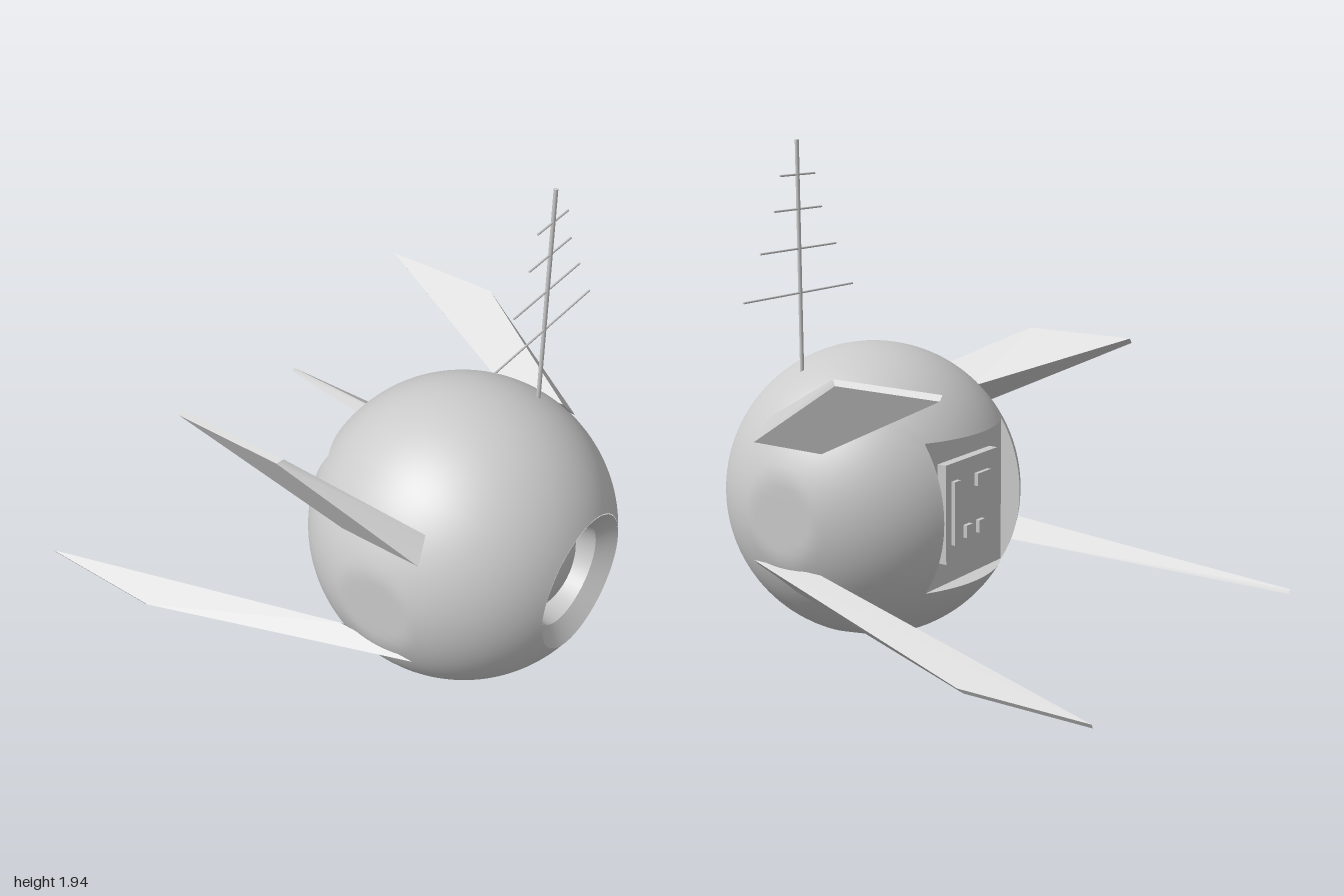
import * as THREE from 'three';

const R = 0.59, CY = 0.55, CZ = 0.47;      // ball radius and centre
const HX = 0.26, HY = 0.292, FLOOR = 0.03; // rear bay half size and floor depth
const RIM = 0.27;                          // front opening radius

const mat = new THREE.MeshStandardMaterial({ color: 0xcccccc });
const matDouble = new THREE.MeshStandardMaterial({ color: 0xcccccc, side: THREE.DoubleSide });

function add(parent, name, geometry, x = 0, y = 0, z = 0, material = mat) {
  const mesh = new THREE.Mesh(geometry, material);
  mesh.name = name;
  mesh.position.set(x, y, z);
  parent.add(mesh);
  return mesh;
}

// Skin closed rings of points, given by point(ring, segment)
function loft(rings, segs, point) {
  const pos = [], idx = [];
  for (let i = 0; i <= rings; i++)
    for (let j = 0; j < segs; j++) pos.push(...point(i, j));
  for (let i = 0; i < rings; i++)
    for (let j = 0; j < segs; j++) {
      const k = (j + 1) % segs;
      const a = i * segs + j, b = i * segs + k, c = a + segs, d = b + segs;
      idx.push(a, c, b, b, c, d);
    }
  const g = new THREE.BufferGeometry();
  g.setAttribute('position', new THREE.Float32BufferAttribute(pos, 3));
  g.setIndex(idx);
  g.computeVertexNormals();
  return g;
}

// Angle round z, spaced so that the bay corners fall on a segment
const SEGS = 96;
const CORNER = Math.atan2(HY, HX);
function angle(j) {
  const stops = [0, CORNER, Math.PI / 2, Math.PI - CORNER, Math.PI];
  const t = (j / SEGS) * 8, half = t >= 4 ? 1 : 0, u = t - half * 4, k = Math.floor(u);
  return half * Math.PI + stops[k] + (stops[k + 1] - stops[k]) * (u - k);
}

// Point on the ball, from the round front opening (v = 0) to the square bay (v = 1)
function ballPoint(v, j) {
  const a = angle(j), ca = Math.cos(a), sa = Math.sin(a);
  const rho = Math.min(HX / Math.max(Math.abs(ca), 1e-6), HY / Math.max(Math.abs(sa), 1e-6));
  const start = Math.asin(RIM / R), end = Math.PI - Math.asin(rho / R);
  const th = start + (end - start) * v;
  let x = R * Math.sin(th) * ca, y = CY + R * Math.sin(th) * sa;
  const z = CZ + R * Math.cos(th);
  x = THREE.MathUtils.clamp(x, -0.568, 0.568);                 // flattened sides
  const d = Math.hypot(x, z - CZ) / 0.27;
  if (y < CY && d < 1) y = Math.max(y, 0.004 + 0.02 * d * d);  // flattened base
  return [x, y, z];
}

// Tapered fin from a box: root and tip each give lower/upper [x, y, zFront, zBack]
function finGeometry(side, root, tip) {
  const g = new THREE.BoxGeometry(2, 2, 2), p = g.attributes.position;
  for (let i = 0; i < p.count; i++) {
    const end = p.getX(i) * side > 0 ? tip : root;
    const c = end[p.getY(i) > 0 ? 1 : 0];
    p.setXYZ(i, side * c[0], c[1], p.getZ(i) > 0 ? c[2] : c[3]);
  }
  g.computeVertexNormals();
  return g;
}

export function createModel() {
  const model = new THREE.Group();
  model.name = 'sphericalProbe';

  // Ball body
  add(model, 'body', loft(56, SEGS, (i, j) => ballPoint(i / 56, j)));

  // Front eye: bevel, socket and domed lens
  const eye = new THREE.Group();
  eye.name = 'eye';
  model.add(eye);
  const lathe = (name, pts) => {
    const g = new THREE.LatheGeometry(pts.map(([r, z]) => new THREE.Vector2(r, z)), 48);
    g.rotateX(Math.PI / 2);
    add(eye, name, g, 0, CY - 0.003, 0, matDouble);
  };
  lathe('eyeBevel', [[0.27, 0.995], [0.2, 0.94]]);
  lathe('eyeSocket', [[0.2, 0.94], [0.185, 0.83]]);
  const dome = [];
  for (let i = 0; i <= 10; i++) {
    const t = (i / 10) * Math.PI / 2;
    dome.push([0.186 * Math.cos(t), 0.83 + 0.09 * Math.sin(t)]);
  }
  lathe('eyeLens', dome);

  // Rear bay: walls, floor and control panel
  const bay = new THREE.Group();
  bay.name = 'rearBay';
  model.add(bay);
  add(bay, 'bayWalls', loft(1, SEGS, (i, j) => {
    const p = ballPoint(1, j);
    return i ? [p[0], p[1], FLOOR] : p;
  }), 0, 0, 0, matDouble);
  add(bay, 'bayFloor', new THREE.BoxGeometry(2 * HX, 2 * HY, 0.02), 0, CY, FLOOR + 0.01);
  add(bay, 'controlPanel', new THREE.BoxGeometry(0.35, 0.39, 0.04), 0, CY, 0.012);
  const controls = [ // name, x, y, width, height
    ['slider', 0.12, 0, 0.04, 0.25],
    ['display', -0.06, 0.1, 0.09, 0.05],
    ['button', 0.04, -0.09, 0.04, 0.05],
    ['button', -0.045, -0.09, 0.04, 0.05],
  ];
  for (const [name, x, y, w, h] of controls)
    add(bay, name, new THREE.BoxGeometry(w, h, 0.03), x, CY + y, -0.01);

  // Swept fins, mirrored
  for (const side of [1, -1]) {
    const label = side > 0 ? 'left' : 'right';
    add(model, label + 'UpperFin', finGeometry(side,
      [[0.53, 0.82, 0.63, 0.3], [0.46, 0.905, 0.61, 0.3]],
      [[0.665, 1.12, 0.12, -0.33], [0.65, 1.14, 0.14, -0.33]]));
    add(model, label + 'LowerFin', finGeometry(side,
      [[0.47, 0.27, 0.6, 0.3], [0.55, 0.36, 0.63, 0.3]],
      [[0.775, 0.16, -0.5, -1], [0.785, 0.177, -0.48, -1]]));
  }

  // Antenna mast and cross bars
  const antenna = new THREE.Group();
  antenna.name = 'antenna';
  antenna.position.set(0.27, 0, 0.605);
  model.add(antenna);
  add(antenna, 'mast', new THREE.CylinderGeometry(0.008, 0.008, 0.89, 12), 0, 1.495, 0);
  for (const [y, length] of [[1.36, 0.64], [1.53, 0.44], [1.68, 0.275], [1.81, 0.2]]) {
    const g = new THREE.CylinderGeometry(0.004, 0.004, length, 8);
    g.rotateZ(Math.PI / 2);
    add(antenna, 'crossBar', g, 0, y, 0);
  }
  return model;
}
